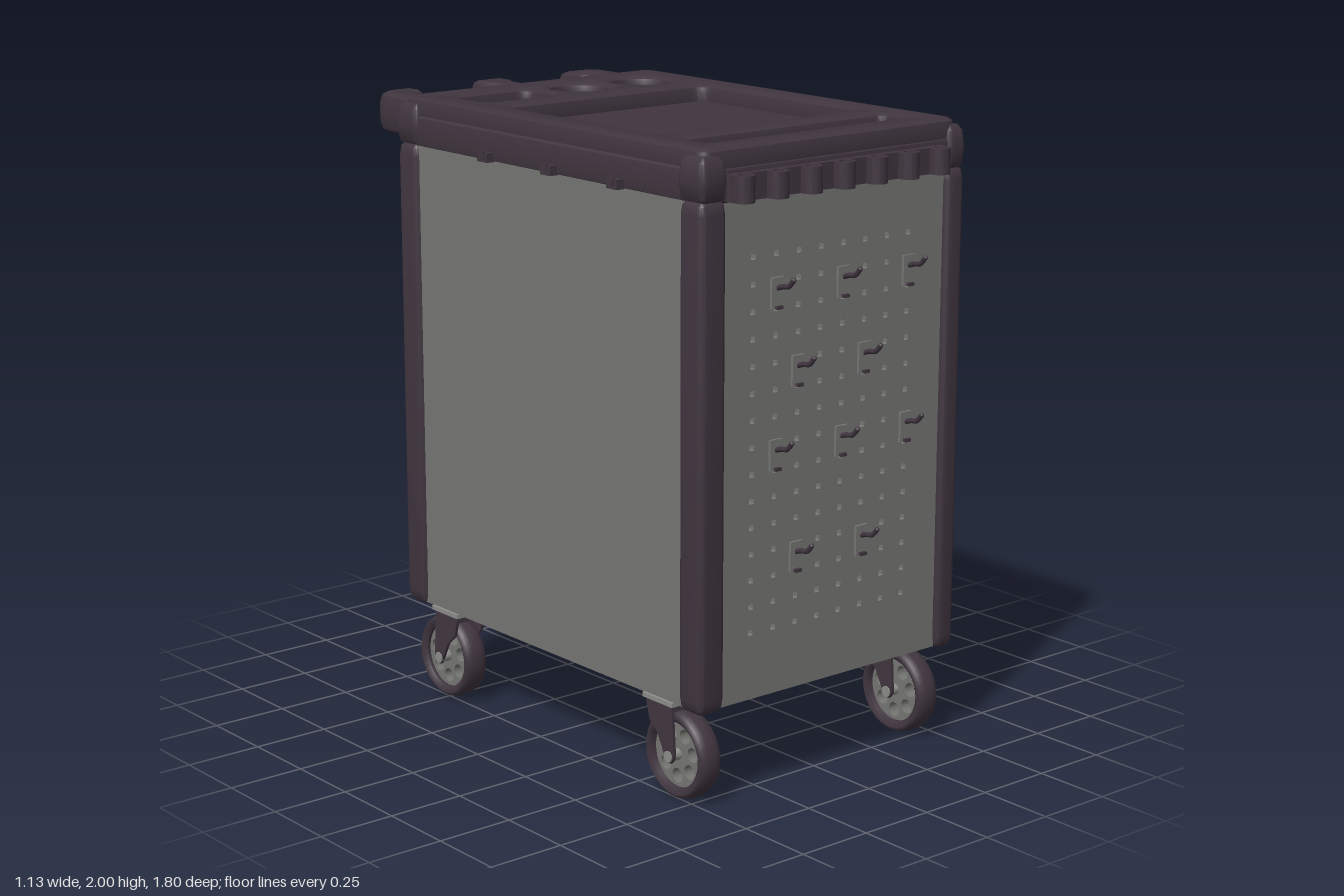
import * as THREE from 'three';
import { toCreasedNormals } from 'three/addons/utils/BufferGeometryUtils.js';

const mat = (name, color) => Object.assign(new THREE.MeshStandardMaterial({ color }), { name });

export function createModel() {
  const dark = mat('dark plastic', 0x40353f);
  const grey = mat('grey sheet metal', 0x767673);
  const steel = mat('light steel', 0x8d8d8a);
  const root = new THREE.Group();
  root.name = 'toolTrolley';

  const add = (name, geo, m, x = 0, y = 0, z = 0, parent = root) => {
    const mesh = new THREE.Mesh(geo, m);
    mesh.name = name;
    mesh.position.set(x, y, z);
    parent.add(mesh);
    return mesh;
  };
  // box given by its limits
  const box = (name, m, x0, x1, y0, y1, z0, z1, parent = root) =>
    add(name, new THREE.BoxGeometry(x1 - x0, y1 - y0, z1 - z0), m,
      (x0 + x1) / 2, (y0 + y1) / 2, (z0 + z1) / 2, parent);
  const rounded = (x0, x1, z0, z1, r, C = THREE.Shape) => {
    const s = new C();
    s.moveTo(x0 + r, z0);
    s.lineTo(x1 - r, z0); s.quadraticCurveTo(x1, z0, x1, z0 + r);
    s.lineTo(x1, z1 - r); s.quadraticCurveTo(x1, z1, x1 - r, z1);
    s.lineTo(x0 + r, z1); s.quadraticCurveTo(x0, z1, x0, z1 - r);
    s.lineTo(x0, z0 + r); s.quadraticCurveTo(x0, z0, x0 + r, z0);
    return s;
  };
  const circle = (x, y, r, C = THREE.Path) => new C().absarc(x, y, r, 0, Math.PI * 2, false);
  // plan shape (x, z) extruded between two heights, with bevelled ends
  const slab = (name, shape, y0, y1, m, bevel = 0, bevelHeight = bevel) => {
    const g = new THREE.ExtrudeGeometry(shape, {
      depth: y1 - y0 - 2 * bevelHeight, bevelEnabled: bevel > 0, bevelSize: bevel,
      bevelThickness: bevelHeight, bevelOffset: -bevel, bevelSegments: 2, curveSegments: 8,
    });
    g.rotateX(Math.PI / 2);
    return add(name, toCreasedNormals(g, 0.6), m, 0, y1 - bevelHeight, 0);
  };

  // cabinet body
  box('cabinetBody', grey, -0.53, 0.485, 0.315, 1.85, -0.655, 0.79);

  // corner posts and lid corner caps
  const corners = [
    [-0.545, -0.445, 0.735, 0.84], [0.44, 0.515, 0.735, 0.84],
    [-0.545, -0.445, -0.672, -0.57], [0.44, 0.515, -0.672, -0.57],
  ];
  for (const [x0, x1, z0, z1] of corners) {
    slab('cornerPost', rounded(x0, x1, z0, z1, 0.025), 0.31, 1.85, dark, 0.015, 0.04);
    slab('lidCorner', rounded(x0, x1, z0 - 0.01, z1 + 0.003, 0.025), 1.84, 1.98, dark, 0.022, 0.06);
  }

  // perforated front panel
  const panel = new THREE.Shape();
  panel.moveTo(-0.45, 0.315); panel.lineTo(0.445, 0.315);
  panel.lineTo(0.445, 1.845); panel.lineTo(-0.45, 1.845);
  for (let c = 0; c < 8; c++) for (let r = 0; r < 15; r++) {
    const x = -0.33 + c * 0.0893, y = 0.525 + r * 0.0818;
    panel.holes.push(rounded(x - 0.009, x + 0.009, y - 0.009, y + 0.009, 0.002, THREE.Path));
  }
  add('pegboard', new THREE.ExtrudeGeometry(panel, { depth: 0.03, bevelEnabled: false, curveSegments: 1 }),
    grey, 0, 0, 0.79);

  // hooks on the pegboard
  const hookPath = new THREE.CatmullRomCurve3([[0, 0.01, 0], [0, 0.02, 0.03], [0, 0.024, 0.055], [0, 0.045, 0.075]]
    .map(p => new THREE.Vector3(...p)));
  const hookRows = [[1.555, [-0.24, 0.025, 0.295]], [1.31, [-0.155, 0.115]],
    [1.065, [-0.24, 0.025, 0.295]], [0.735, [-0.155, 0.115]]];
  for (const [y, xs] of hookRows) for (const x of xs) {
    const hook = new THREE.Group();
    hook.name = 'pegHook';
    hook.position.set(x, y, 0.82);
    root.add(hook);
    box('hookPlate', grey, -0.024, 0.024, -0.05, 0.045, 0, 0.009, hook);
    add('hookRod', new THREE.TubeGeometry(hookPath, 10, 0.008, 8), dark, 0, 0, 0, hook);
    add('hookTip', new THREE.SphereGeometry(0.008, 8, 6), dark, 0, 0.045, 0.075, hook);
    box('hookTab', dark, -0.012, 0.012, -0.05, -0.04, 0.005, 0.02, hook);
  }

  // drawers with wedge grips: bottom, top, grip height
  const drawers = [[1.665, 1.835, 1.71], [1.5, 1.655, 1.54], [1.33, 1.49, 1.37], [1.165, 1.32, 1.205],
    [0.995, 1.155, 1.04], [0.685, 0.985, 0.83], [0.37, 0.675, 0.525]];
  const wedge = new THREE.Shape([[-0.02, 0.024], [0.01, 0.024], [0.016, 0.01], [0.036, -0.02], [-0.02, -0.02]]
    .map(p => new THREE.Vector2(...p)));
  const wedgeGeo = d => new THREE.ExtrudeGeometry(wedge, { depth: d, bevelEnabled: false });
  for (const [y0, y1, gy] of drawers) {
    box('drawerFront', grey, 0.47, 0.503, y0, y1, -0.565, 0.73);
    add('drawerGrip', wedgeGeo(1.25), grey, 0.503, gy, -0.54);
    for (const z of [-0.552, 0.71]) add('gripEnd', wedgeGeo(0.012), dark, 0.504, gy, z);
  }
  box('drawerSill', grey, 0.47, 0.503, 0.315, 0.36, -0.565, 0.73);

  // lid base and recessed top
  slab('lidBase', rounded(-0.535, 0.51, -0.68, 0.832, 0.03), 1.84, 1.945, dark, 0.012, 0.03);
  const top = rounded(-0.525, 0.5, -0.67, 0.825, 0.05);
  top.holes.push(
    rounded(-0.415, -0.125, -0.535, -0.36, 0.05, THREE.Path),
    circle(0.03, -0.45, 0.095), circle(0.285, -0.45, 0.095),
    rounded(-0.415, 0.38, -0.245, 0.505, 0.05, THREE.Path),
    rounded(-0.415, 0.38, 0.605, 0.71, 0.03, THREE.Path));
  slab('lidTop', top, 1.9, 2, dark, 0.02, 0.03);
  for (const x of [-0.4, -0.325]) for (const z of [0.09, 0.17])
    add('trayStud', new THREE.CylinderGeometry(0.012, 0.012, 0.008, 12), dark, x, 1.949, z);

  // scalloped tool rail at the front of the lid
  const rail = new THREE.Shape();
  rail.moveTo(-0.445, 0.81);
  rail.lineTo(-0.445, 0.855);
  for (let i = 0; i < 7; i++) {
    const x = -0.41 + i * 0.131;
    rail.lineTo(x - 0.032, 0.855);
    rail.absarc(x, 0.868, 0.032, Math.PI, 0, true);
    rail.lineTo(x + 0.032, 0.855);
    rail.holes.push(circle(x, 0.868, 0.018));
  }
  rail.lineTo(0.415, 0.81);
  slab('toolRail', rail, 1.845, 1.925, dark);

  // push handle
  const HX = -0.02;
  for (const s of [-1, 1]) {
    const X = v => HX + s * v, arm = new THREE.Shape();
    arm.moveTo(X(0.47), -0.64);
    arm.lineTo(X(0.47), -0.81);
    arm.quadraticCurveTo(X(0.47), -0.9, X(0.38), -0.9);
    arm.lineTo(X(0.31), -0.9);
    arm.lineTo(X(0.31), -0.82);
    arm.quadraticCurveTo(X(0.36), -0.82, X(0.36), -0.78);
    arm.lineTo(X(0.36), -0.64);
    slab('handleArm', arm, 1.855, 1.985, dark, 0.025, 0.035);
    const grip = add('handleGrip', new THREE.CylinderGeometry(0.036, 0.036, 0.29, 24), steel, X(0.18), 1.925, -0.862);
    grip.rotation.z = Math.PI / 2;
  }
  const tee = new THREE.Shape([[-0.06, -0.9], [0.06, -0.9], [0.06, -0.82], [0.042, -0.79], [0.042, -0.73],
    [0.06, -0.64], [-0.06, -0.64], [-0.042, -0.73], [-0.042, -0.79], [-0.06, -0.82]]
    .map(([x, z]) => new THREE.Vector2(HX + x, z)));
  slab('handleCentre', tee, 1.865, 1.985, dark, 0.015, 0.03);

  // clips along the left edge of the lid
  for (const z of [-0.19, 0.13, 0.45]) {
    box('sideClip', dark, -0.56, -0.53, 1.845, 1.875, z - 0.025, z + 0.025);
    box('sideClipTab', dark, -0.565, -0.555, 1.855, 1.88, z - 0.012, z + 0.012);
  }

  // lock with keys
  const lock = add('lock', new THREE.CylinderGeometry(0.024, 0.024, 0.02, 20), steel, 0.511, 1.905, 0.085);
  lock.rotation.z = Math.PI / 2;
  box('keyInLock', steel, 0.515, 0.55, 1.895, 1.918, 0.082, 0.088);
  add('keyRing', new THREE.TorusGeometry(0.018, 0.003, 6, 20), steel, 0.54, 1.885, 0.085);
  const bow = add('spareKeyBow', new THREE.CylinderGeometry(0.015, 0.015, 0.005, 16), steel, 0.54, 1.86, 0.085);
  bow.rotation.z = Math.PI / 2;
  box('spareKeyBlade', steel, 0.537, 0.543, 1.81, 1.85, 0.08, 0.09);

  // framed grid on the back
  const rack = new THREE.Group();
  rack.name = 'backRack';
  root.add(rack);
  for (const x of [-0.25, 0.27]) {
    box('rackSide', dark, x - 0.022, x + 0.022, 1.03, 1.49, -0.68, -0.65, rack);
    for (const y of [1.1, 1.42]) {
      const bolt = add('rackBolt', new THREE.CylinderGeometry(0.012, 0.012, 0.008, 12), grey, x, y, -0.682, rack);
      bolt.rotation.x = Math.PI / 2;
    }
  }
  for (const x of [-0.205, 0.01, 0.225])
    box('rackUpright', dark, x - 0.011, x + 0.011, 1.06, 1.46, -0.676, -0.65, rack);
  for (const y of [1.065, 1.195, 1.325, 1.455])
    box('rackBar', dark, -0.25, 0.27, y - 0.012, y + 0.012, -0.678, -0.65, rack);

  // casters, trailing away from the middle
  const tyreGeo = new THREE.LatheGeometry([[0.104, -0.03], [0.122, -0.044], [0.134, -0.034], [0.14, -0.014],
    [0.14, 0.014], [0.134, 0.034], [0.122, 0.044], [0.104, 0.03], [0.104, -0.03]]
    .map(p => new THREE.Vector2(...p)), 40).rotateZ(Math.PI / 2);
  const disc = circle(0, 0, 0.108, THREE.Shape);
  for (let i = 0; i < 7; i++) {
    const a = i / 7 * Math.PI * 2 + 0.2;
    disc.holes.push(circle(Math.cos(a) * 0.07, Math.sin(a) * 0.07, 0.023));
  }
  const discGeo = new THREE.ExtrudeGeometry(disc, { depth: 0.04, bevelEnabled: false, curveSegments: 16 })
    .translate(0, 0, -0.02).rotateY(-Math.PI / 2);
  const forkShape = new THREE.Shape([[-0.06, 0.295], [0.06, 0.295], [0.066, 0.2], [0.07, 0.14], [0.056, 0.12],
    [0.036, 0.12], [0.02, 0.15], [-0.005, 0.2], [-0.045, 0.235]].map(p => new THREE.Vector2(...p)));
  const forkGeo = new THREE.ExtrudeGeometry(forkShape, { depth: 0.01, bevelEnabled: false })
    .translate(0, 0, -0.005).rotateY(-Math.PI / 2);
  for (const x of [-0.475, 0.437]) for (const [z, turn] of [[0.635, 0], [-0.465, Math.PI]]) {
    const caster = new THREE.Group();
    caster.name = 'caster';
    caster.position.set(x, 0, z);
    caster.rotation.y = turn;
    root.add(caster);
    box('casterPlate', steel, -0.065, 0.065, 0.303, 0.317, -0.07, 0.07, caster);
    box('forkCrown', dark, -0.056, 0.056, 0.283, 0.304, -0.06, 0.06, caster);
    for (const s of [-0.053, 0.053]) add('forkLeg', forkGeo, dark, s, 0, 0, caster);
    add('tyre', tyreGeo, dark, 0, 0.14, 0.045, caster);
    add('wheelDisc', discGeo, grey, 0, 0.14, 0.045, caster);
    add('axle', new THREE.CylinderGeometry(0.018, 0.018, 0.124, 16).rotateZ(Math.PI / 2), steel, 0, 0.14, 0.045, caster);
  }
  return root;
}
